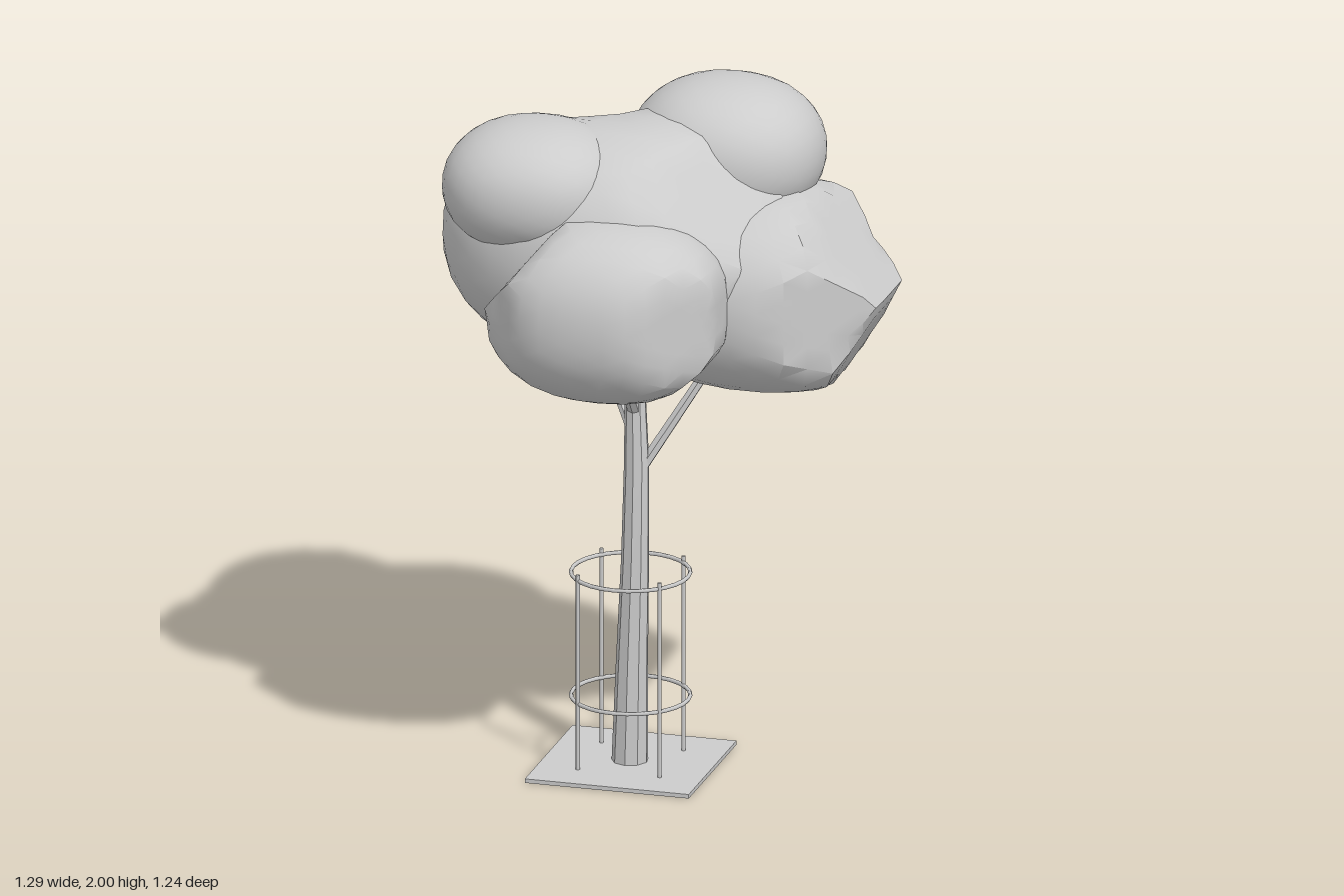
import * as THREE from 'three';
import { toCreasedNormals } from 'three/addons/utils/BufferGeometryUtils.js';

const TRUNK_X = -0.085;

// Leaf clump: a slightly boxy ellipsoid (power p) trimmed by planes [nx, ny, nz, distance from centre]
function clump(radii, p, cuts) {
  const geo = new THREE.IcosahedronGeometry(1, 5);
  const pos = geo.attributes.position;
  const v = new THREE.Vector3();
  for (let i = 0; i < pos.count; i++) {
    v.fromBufferAttribute(pos, i);
    const sum = Math.abs(v.x) ** p + Math.abs(v.y) ** p + Math.abs(v.z) ** p;
    v.multiplyScalar(sum ** (-1 / p)).multiply(radii);
    let s = 1;
    for (const [x, y, z, d] of cuts) {
      const h = v.x * x + v.y * y + v.z * z;
      if (h > d) s = Math.min(s, d / h);
    }
    v.multiplyScalar(s);
    pos.setXYZ(i, v.x, v.y, v.z);
  }
  return toCreasedNormals(geo, 0.6);
}

// Faceted limb through rings [x, y, z, radius]
function limb(rings, sides) {
  const geo = new THREE.CylinderGeometry(1, 1, 1, sides, rings.length - 1);
  const pos = geo.attributes.position;
  for (let i = 0; i < pos.count; i++) {
    const k = Math.round((pos.getY(i) + 0.5) * (rings.length - 1));
    const [x, y, z, r] = rings[k];
    pos.setXYZ(i, x + pos.getX(i) * r, y, z + pos.getZ(i) * r);
  }
  return toCreasedNormals(geo, 0.3);
}

export function createModel() {
  const model = new THREE.Group();
  const grey = new THREE.MeshStandardMaterial({ color: 0xcccccc });
  grey.name = 'pale grey';

  const add = (name, geo, x = 0, y = 0, z = 0, parent = model) => {
    const mesh = new THREE.Mesh(geo, grey);
    mesh.name = name;
    mesh.position.set(x, y, z);
    parent.add(mesh);
    return mesh;
  };

  // Ground plate
  add('groundPlate', new THREE.BoxGeometry(0.48, 0.012, 0.48), TRUNK_X, 0.006, 0);

  // Trunk and branches
  add('trunk', limb([
    [-0.087, 0.01, 0, 0.052],
    [-0.08, 0.3, 0.003, 0.046],
    [-0.068, 0.62, 0.012, 0.04],
    [-0.066, 0.9, 0.004, 0.036],
    [-0.073, 1.18, 0, 0.028],
  ], 9));
  [
    ['rightwardBranch', [-0.05, 0.89, 0, 0.021], [0.18, 1.27, -0.09, 0.016]],
    ['leftwardBranch', [-0.08, 1.0, 0, 0.019], [-0.25, 1.3, -0.13, 0.015]],
    ['forwardBranch', [-0.07, 1.05, 0.01, 0.019], [-0.07, 1.28, 0.19, 0.016]],
  ].forEach(([name, a, b]) => add(name, limb([a, b], 6)));

  // Tree guard: two hoops on four posts
  const guard = new THREE.Group();
  guard.name = 'treeGuard';
  guard.position.x = TRUNK_X;
  model.add(guard);
  for (const y of [0.206, 0.572]) {
    const hoop = add('guardHoop', new THREE.TorusGeometry(0.168, 0.006, 6, 28), 0, y, 0, guard);
    hoop.rotation.x = Math.PI / 2;
  }
  for (const x of [-0.12, 0.12]) {
    for (const z of [-0.12, 0.12]) {
      add('guardPost', new THREE.CylinderGeometry(0.006, 0.006, 0.58, 8), x, 0.3, z, guard);
    }
  }

  // Foliage: name, centre, radii, boxiness, trimming planes
  [
    ['centralFoliage', [-0.12, 1.58, -0.02], [0.5, 0.36, 0.45], 2.2,
      [[0, 1, 0, 0.345], [0.65, 0.62, 0.43, 0.39], [-0.28, 0.87, -0.4, 0.312]]],
    ['upperBackFoliage', [0.14, 1.79, -0.2], [0.28, 0.21, 0.26], 2.15, []],
    ['upperFrontFoliage', [-0.31, 1.765, 0.18], [0.262, 0.188, 0.25], 2.2, []],
    ['lowerFrontFoliage', [-0.05, 1.48, 0.35], [0.35, 0.265, 0.275], 2.3,
      [[1, 0, 0, 0.325], [-1, 0, 0, 0.33], [-0.77, 0.64, 0, 0.255], [0.66, -0.75, 0, 0.3],
        [-0.68, 0, 0.73, 0.305], [0.73, 0, 0.68, 0.285]]],
    ['lowerLeftFoliage', [0.28, 1.435, -0.1], [0.44, 0.29, 0.37], 2.3,
      [[0.86, -0.51, 0, 0.319], [0.77, 0.64, 0, 0.28], [0.7, 0, 0.72, 0.342],
        [0.5, 0, -0.86, 0.305]]],
    ['lowerBackFoliage', [-0.37, 1.49, -0.28], [0.31, 0.255, 0.38], 2.2,
      [[-0.43, 0, -0.9, 0.315], [0.38, 0, -0.925, 0.307], [0.94, 0, -0.34, 0.275],
        [-1, 0, 0, 0.28], [0, -0.69, -0.73, 0.262]]],
  ].forEach(([name, c, r, p, cuts]) => add(name, clump(new THREE.Vector3(...r), p, cuts), ...c));

  return model;
}
